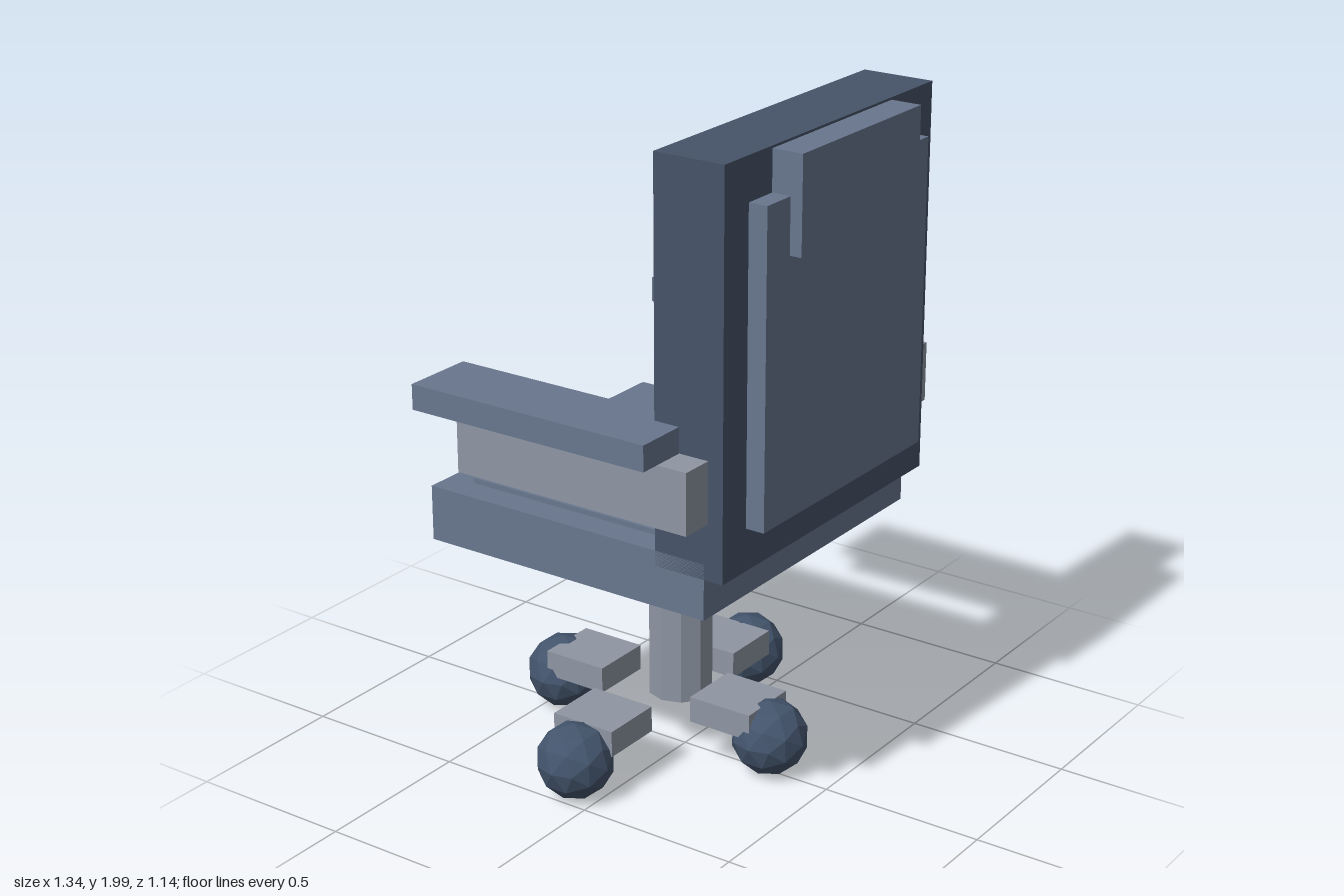
import * as THREE from 'three';

const material = (name, color, flatShading = false) => {
  const m = new THREE.MeshStandardMaterial({ color, flatShading });
  m.name = name;
  return m;
};

export function createModel() {
  const chair = new THREE.Group();
  chair.name = 'officeChair';

  const cushion = material('cushionBlue', 0x68768d);
  const frame = material('frameSlate', 0x465368);
  const metal = material('metalGrey', 0x8e96a3, true);
  const rubber = material('casterBlue', 0x43546c, true);

  const add = (name, geometry, mat, x, y, z) => {
    const mesh = new THREE.Mesh(geometry, mat);
    mesh.name = name;
    mesh.position.set(x, y, z);
    chair.add(mesh);
    return mesh;
  };

  // Box given by its extents on each axis
  const box = (name, mat, [x0, x1], [y0, y1], [z0, z1]) =>
    add(name, new THREE.BoxGeometry(x1 - x0, y1 - y0, z1 - z0), mat,
      (x0 + x1) / 2, (y0 + y1) / 2, (z0 + z1) / 2);

  // Seat with a slightly thicker inset pad showing above and below
  box('seat', cushion, [-0.51, 0.51], [0.725, 0.89], [-0.52, 0.42]);
  box('seatPad', cushion, [-0.425, 0.425], [0.71, 0.905], [-0.435, 0.34]);

  // Backrest, its panel and the headrest
  box('backrest', frame, [-0.51, 0.51], [0.845, 2], [0.26, 0.48]);
  box('backPanel', cushion, [-0.4, 0.4], [0.97, 1.875], [0.46, 0.537]);
  box('headrest', cushion, [-0.293, 0.293], [1.715, 1.993], [0.46, 0.573]);

  // Armrests
  for (const [side, s] of [['left', 1], ['right', -1]]) {
    const span = (a, b) => (s > 0 ? [a, b] : [-b, -a]);
    box(side + 'ArmPad', cushion, span(0.45, 0.67), [1.19, 1.265], [-0.44, 0.34]);
    box(side + 'ArmSupport', metal, span(0.51, 0.61), [1.01, 1.19], [-0.335, 0.433]);
  }

  // Ten-sided column
  const columnGeometry = new THREE.CylinderGeometry(0.0975, 0.0975, 0.535, 10);
  columnGeometry.rotateY(Math.PI / 2);
  add('column', columnGeometry, metal, 0, 0.4525, -0.016);

  // Four base blocks, each with a faceted caster further out
  const baseZ = -0.074;
  const casterGeometry = new THREE.IcosahedronGeometry(0.115, 1);
  const blockGeometry = new THREE.BoxGeometry(0.195, 0.08, 0.207);
  const directions = [['front', 0, 1], ['left', 1, 0], ['back', 0, -1], ['right', -1, 0]];
  for (const [side, dx, dz] of directions) {
    add(side + 'BaseBlock', blockGeometry, metal, dx * 0.308, 0.185, baseZ + dz * 0.264);
    add(side + 'Caster', casterGeometry, rubber, dx * 0.442, 0.122, baseZ + dz * 0.376);
  }

  return chair;
}
